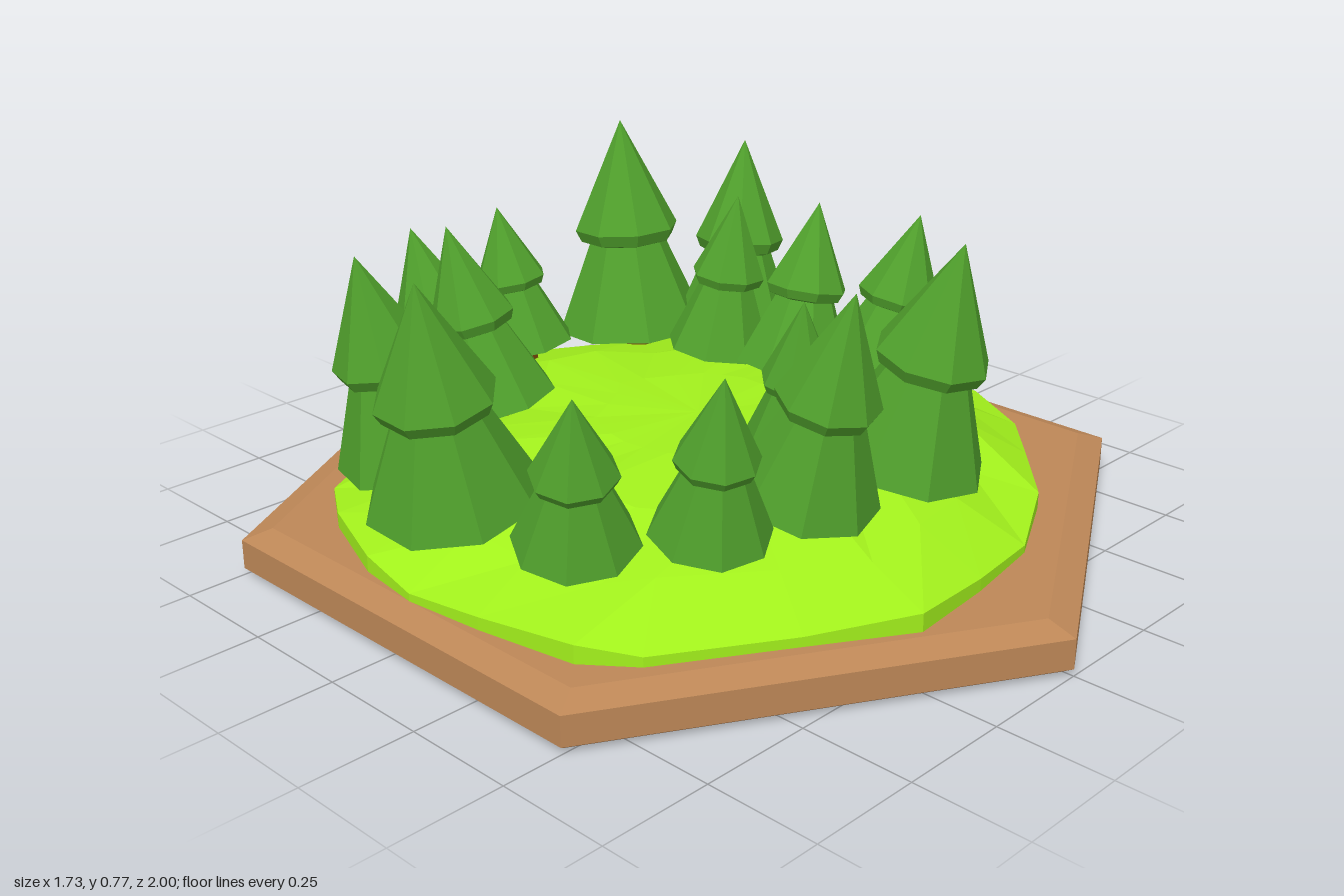
import * as THREE from 'three';

const flat = (color) => new THREE.MeshStandardMaterial({ color, flatShading: true });
const lathe = (pts, sides, material, name) => {
  const mesh = new THREE.Mesh(
    new THREE.LatheGeometry(pts.map(([r, y]) => new THREE.Vector2(r, y)), sides), material);
  mesh.name = name;
  return mesh;
};

// Irregular edge of the grass, clockwise from the back (x, z)
const OUTLINE = [
  [0, -0.9], [0.22, -0.84], [0.43, -0.69], [0.635, -0.55], [0.73, -0.43], [0.8, -0.25],
  [0.78, -0.04], [0.8, 0.175], [0.72, 0.35], [0.56, 0.49], [0.4, 0.635], [0.2, 0.74],
  [0, 0.775], [-0.21, 0.795], [-0.41, 0.67], [-0.67, 0.51], [-0.75, 0.41], [-0.79, 0.185],
  [-0.81, 0], [-0.79, -0.16], [-0.71, -0.37], [-0.62, -0.51], [-0.39, -0.62], [-0.18, -0.74],
];

// Trees: skirt centre x, z, skirt radius, skirt height, tip x, y, z
const TREES = [
  [-0.22, -0.58, 0.125, 0.265, -0.27, 0.605, -0.65],
  [0.04, -0.635, 0.125, 0.25, 0.01, 0.59, -0.68],
  [0.32, -0.54, 0.185, 0.25, 0.325, 0.765, -0.58],
  [0.47, -0.33, 0.155, 0.25, 0.525, 0.72, -0.35],
  [0.3, -0.22, 0.125, 0.28, 0.33, 0.65, -0.19],
  [0.365, -0.04, 0.14, 0.26, 0.445, 0.64, -0.04],
  [0.51, 0.1, 0.14, 0.25, 0.58, 0.62, 0.15],
  [0.36, 0.335, 0.125, 0.24, 0.42, 0.6, 0.39],
  [0.125, 0.475, 0.178, 0.26, 0.155, 0.74, 0.585],
  [-0.15, 0.44, 0.158, 0.255, -0.15, 0.705, 0.56],
  [-0.025, 0.3, 0.115, 0.27, -0.055, 0.615, 0.35],
  [-0.4, 0.42, 0.125, 0.25, -0.435, 0.595, 0.49],
  [-0.58, 0.235, 0.13, 0.23, -0.64, 0.56, 0.3],
  [-0.65, -0.05, 0.182, 0.255, -0.745, 0.735, -0.015],
  [-0.56, -0.3, 0.16, 0.25, -0.66, 0.7, -0.32],
  [-0.275, -0.365, 0.14, 0.27, -0.34, 0.67, -0.43],
];

// Faceted mound made from shrinking copies of the outline
function grassGeometry() {
  const rings = [[1, 0.095, 0], [1, 0.128, 0.012], [0.8, 0.185, 0.012],
    [0.55, 0.245, 0.01], [0.28, 0.26, 0.002], [0, 0.26, 0]];
  const n = OUTLINE.length, positions = [], index = [];
  rings.forEach(([scale, y, bump], k) => OUTLINE.forEach(([x, z], i) =>
    positions.push(x * scale, y + bump * Math.sin(i * 1.9 + k * 2.3), z * scale)));
  // Small hump at the front left corner
  positions[(2 * n + 9) * 3 + 1] = 0.22;
  for (let k = 0; k < rings.length - 1; k++) {
    for (let i = 0; i < n; i++) {
      const j = (i + 1) % n;
      const a = k * n + i, b = k * n + j, c = a + n, d = b + n;
      index.push(a, c, b);
      if (k < rings.length - 2) index.push(b, c, d);
    }
  }
  const geometry = new THREE.BufferGeometry();
  geometry.setAttribute('position', new THREE.Float32BufferAttribute(positions, 3));
  geometry.setIndex(index);
  geometry.computeVertexNormals();
  return geometry;
}

// Two-tier conifer on a short trunk, leaning towards its tip
function makeTree([x, z, r, y, tipX, tipY, tipZ], i, leaf, bark) {
  const tree = new THREE.Group();
  tree.name = 'tree';
  const axis = new THREE.Vector3(tipX - x, tipY - y, tipZ - z);
  const h = axis.length();
  const tiers = [[0, 0.03], [1, 0], [0.5, 0.43], [0.48, 0.42],
    [0.62, 0.435], [0.69, 0.49], [0, 1]].map(([pr, py]) => [pr * r, py * h]);
  const foliage = lathe(tiers, 8, leaf, 'foliage');
  foliage.rotation.y = i * 1.3;
  const trunk = new THREE.Mesh(new THREE.CylinderGeometry(r * 0.22, r * 0.24, 0.12, 8), bark);
  trunk.name = 'trunk';
  trunk.position.y = -0.01;
  tree.add(foliage, trunk);
  tree.position.set(x, y, z);
  tree.quaternion.setFromUnitVectors(new THREE.Vector3(0, 1, 0), axis.normalize());
  return tree;
}

export function createModel() {
  const group = new THREE.Group();
  group.name = 'forestTile';
  const leaf = flat(0x50a02c), bark = flat(0x7a4a0a);

  // Bevelled hexagonal base
  group.add(lathe([[0, 0], [0.975, 0], [1, 0.015], [1, 0.08], [0.935, 0.1], [0, 0.1]],
    6, flat(0xbd8757), 'base'));

  const grass = new THREE.Mesh(grassGeometry(), flat(0xa2f01c));
  grass.name = 'grass';
  group.add(grass);

  // Ring of trees around the clearing
  TREES.forEach((t, i) => group.add(makeTree(t, i, leaf, bark)));
  return group;
}
